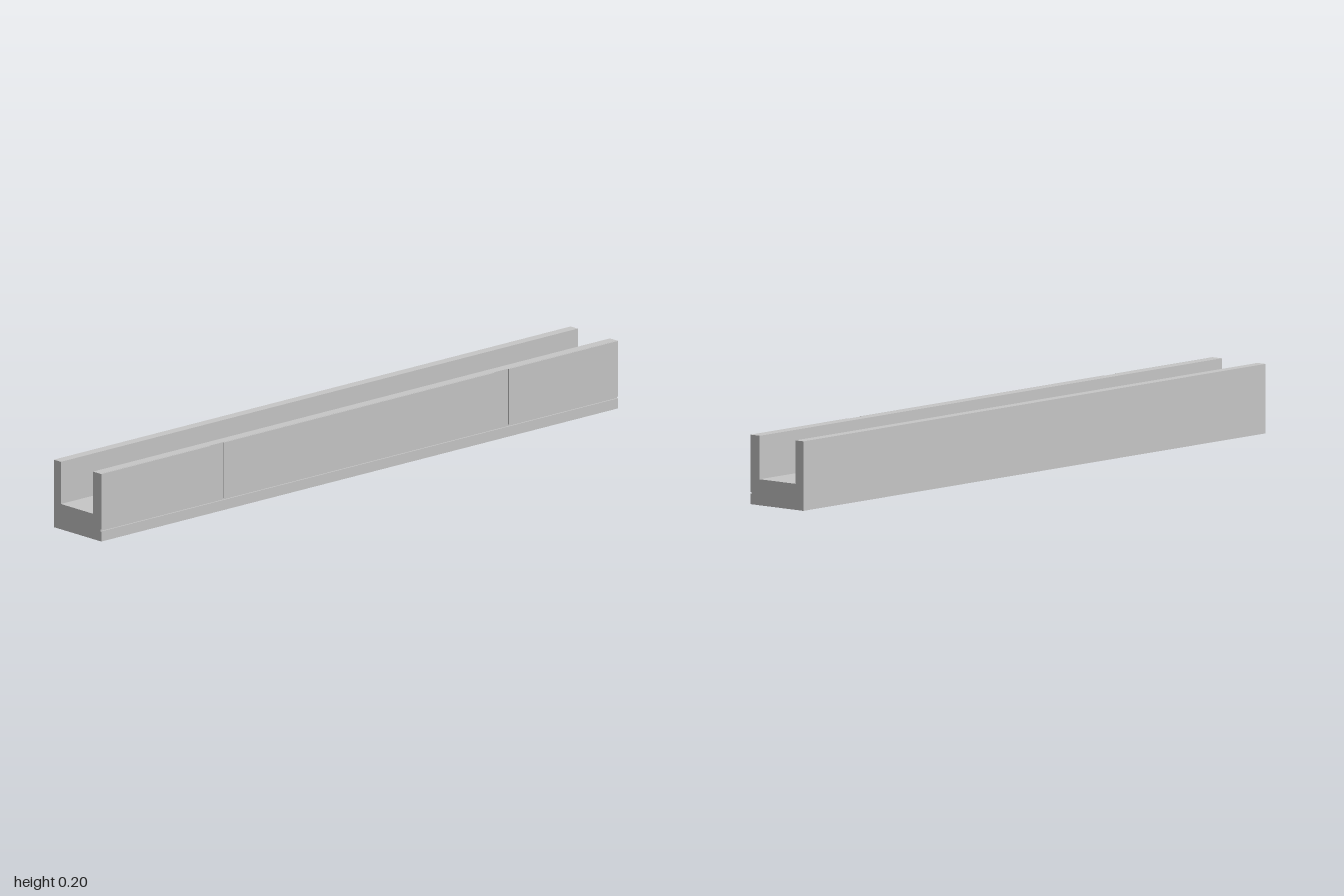
import * as THREE from 'three';

export function createModel() {
  const model = new THREE.Group();
  model.name = 'channelBeam';
  const grey = new THREE.MeshStandardMaterial({ color: 0xc7c7c7 });
  grey.name = 'lightGrey';

  // U-shaped channel, drawn as a (z, y) section and extruded along x
  const face = 0.0955; // recessed front face behind the cladding
  const section = new THREE.Shape([
    [0.1, 0], [0.1, 0.03], [face, 0.03], [face, 0.2], [0.065, 0.2],
    [0.065, 0.075], [-0.07, 0.075], [-0.07, 0.2], [-0.1, 0.2], [-0.1, 0],
  ].map(([z, y]) => new THREE.Vector2(-z, y)));
  const channelGeometry = new THREE.ExtrudeGeometry(section, { depth: 2, bevelEnabled: false });
  channelGeometry.translate(0, 0, -1).rotateY(Math.PI / 2);
  const channel = new THREE.Mesh(channelGeometry, grey);
  channel.name = 'channel';
  model.add(channel);

  // Three thin cladding panels, hung just clear of the wall and the ledge
  const bottom = 0.035;
  const depth = 0.0035;
  const panels = [
    ['rightPanel', -1, -0.577],
    ['middlePanel', -0.525, 0.525],
    ['leftPanel', 0.577, 1],
  ];
  for (const [name, x0, x1] of panels) {
    const panel = new THREE.Mesh(new THREE.BoxGeometry(x1 - x0, 0.2 - bottom, depth), grey);
    panel.position.set((x0 + x1) / 2, (0.2 + bottom) / 2, 0.1 - depth / 2);
    panel.name = name;
    model.add(panel);
  }
  return model;
}
